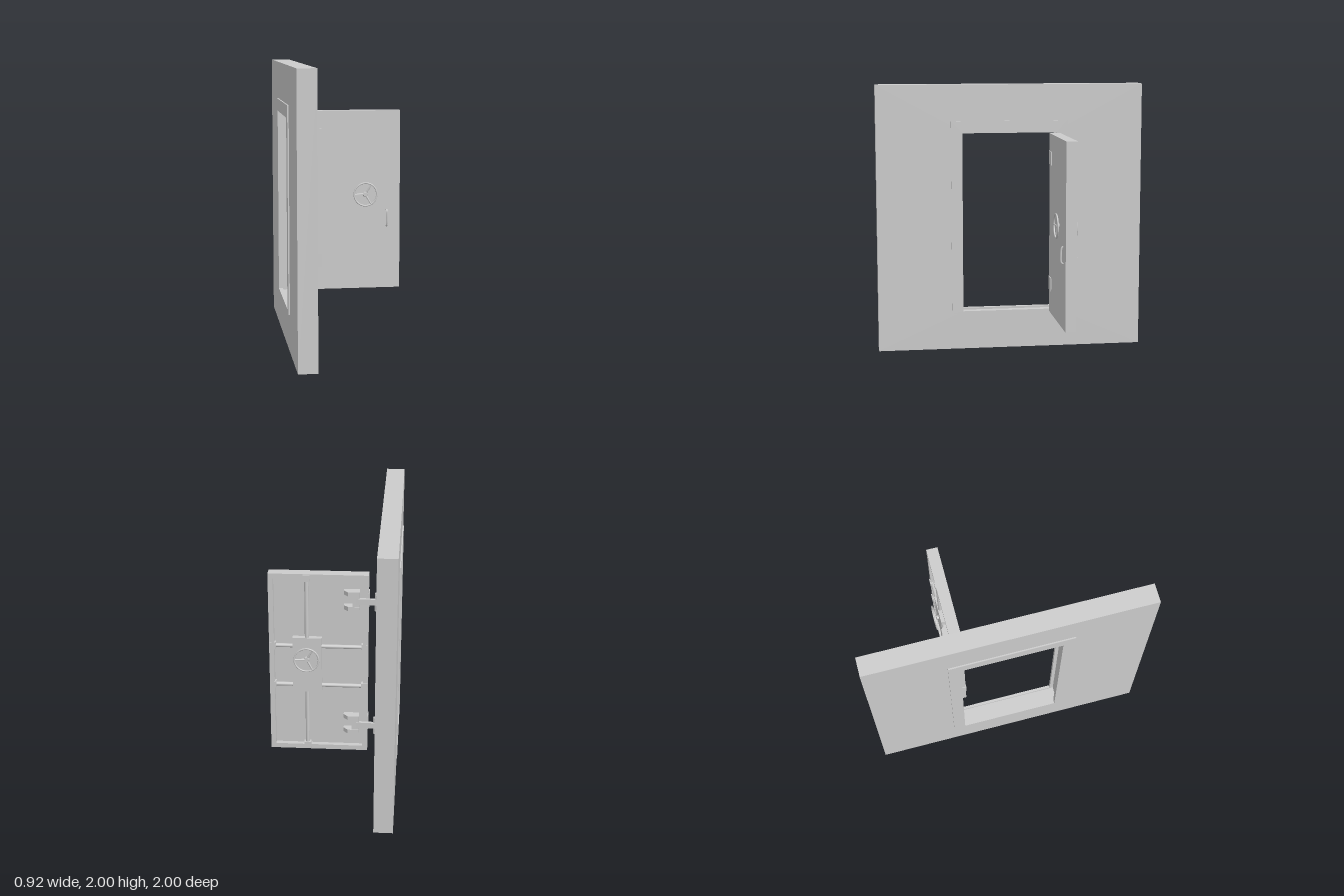
import * as THREE from 'three';

const mat = new THREE.MeshStandardMaterial({ color: 0xcccccc });

function add(parent, name, geo, x = 0, y = 0, z = 0) {
  const m = new THREE.Mesh(geo, mat);
  m.name = name;
  m.position.set(x, y, z);
  parent.add(m);
  return m;
}

// Box given by its min and max corners
function box(parent, name, x0, x1, y0, y1, z0, z1) {
  return add(parent, name, new THREE.BoxGeometry(x1 - x0, y1 - y0, z1 - z0),
    (x0 + x1) / 2, (y0 + y1) / 2, (z0 + z1) / 2);
}

function rect(Type, a0, a1, b0, b1) {
  return new Type([[a0, b0], [a1, b0], [a1, b1], [a0, b1]].map(p => new THREE.Vector2(...p)));
}

// Rectangle with a rectangular hole, extruded along z
function ring(outer, inner, depth) {
  const s = rect(THREE.Shape, ...outer);
  s.holes.push(rect(THREE.Path, ...inner));
  return new THREE.ExtrudeGeometry(s, { depth, bevelEnabled: false });
}

// Same, standing in the zy plane and spanning x0..x1
function wallRing(parent, name, x0, x1, outer, inner) {
  const flip = r => [-r[1], -r[0], r[2], r[3]];
  const g = ring(flip(outer), flip(inner), x1 - x0).rotateY(Math.PI / 2);
  return add(parent, name, g, x0);
}

// Cylinder between two points
function rod(parent, name, a, b, r0, r1 = r0, seg = 12) {
  const A = new THREE.Vector3(...a), B = new THREE.Vector3(...b);
  const d = B.clone().sub(A);
  const m = add(parent, name, new THREE.CylinderGeometry(r1, r0, d.length(), seg));
  m.position.copy(A).lerp(B, 0.5);
  m.quaternion.setFromUnitVectors(new THREE.Vector3(0, 1, 0), d.normalize());
  return m;
}

// Profile in the xz plane, extruded over a height and centred on y
function xzPrism(parent, name, pts, height, y) {
  const s = new THREE.Shape(pts.map(([x, z]) => new THREE.Vector2(x, -z)));
  const g = new THREE.ExtrudeGeometry(s, { depth: height, bevelEnabled: false }).rotateX(-Math.PI / 2);
  return add(parent, name, g, 0, y - height / 2, 0);
}

// Three-spoke handwheel whose rim lies ahead of the hub base along +z
function handwheel(name, rimZ) {
  const g = new THREE.Group();
  g.name = name;
  add(g, 'wheelRim', new THREE.TorusGeometry(0.086, 0.006, 10, 40), 0, 0, rimZ);
  rod(g, 'wheelShaft', [0, 0, 0], [0, 0, rimZ - 0.004], 0.016, 0.012, 20);
  rod(g, 'wheelHub', [0, 0, rimZ - 0.014], [0, 0, rimZ - 0.002], 0.02, 0.015, 20);
  for (let i = 0; i < 3; i++) {
    const a = -Math.PI / 3 + i * Math.PI * 2 / 3;
    rod(g, 'wheelSpoke', [Math.cos(a) * 0.01, Math.sin(a) * 0.01, rimZ - 0.011],
      [Math.cos(a) * 0.084, Math.sin(a) * 0.084, rimZ], 0.008, 0.005, 8);
  }
  return g;
}

function hinge(y) {
  const g = new THREE.Group();
  g.name = 'hinge';
  // wall bracket
  box(g, 'hingeWallPlate', -0.312, -0.304, y - 0.07, y + 0.07, -0.42, -0.36);
  for (const s of [-1, 1]) {
    xzPrism(g, 'hingeBracket', [[-0.306, -0.365], [-0.29, -0.378], [-0.29, -0.402], [-0.306, -0.412]],
      0.03, y + s * 0.04);
  }
  rod(g, 'hingePin', [-0.293, y - 0.066, -0.392], [-0.293, y + 0.066, -0.392], 0.01);
  // arm reaching to the door
  xzPrism(g, 'hingeArm', [[-0.3, -0.405], [-0.3, -0.382], [-0.2, -0.378], [-0.16, -0.365],
    [-0.16, -0.4], [-0.2, -0.402]], 0.042, y);
  box(g, 'hingeStrap', -0.18, -0.13, y - 0.045, y + 0.045, -0.395, -0.335);
  // forked leaf on the back of the door
  for (const s of [-1, 1]) {
    xzPrism(g, 'hingeProng', [[-0.18, -0.335], [-0.07, -0.335], [-0.07, -0.366], [-0.1, -0.4], [-0.18, -0.4]],
      0.03, y + s * 0.054);
  }
  // thin plate wrapped round the door edge
  box(g, 'hingeFrontPlate', -0.243, -0.14, y - 0.05, y + 0.05, -0.288, -0.28);
  box(g, 'hingeEdgePlate', -0.245, -0.238, y - 0.05, y + 0.05, -0.36, -0.28);
  return g;
}

export function createModel() {
  const model = new THREE.Group();
  model.name = 'vaultDoor';

  // wall with opening, trimmed on both faces
  const clear = [-0.35, 0.36, 0.29, 1.64];
  const trim = [-0.435, 0.445, 0.27, 1.73];
  wallRing(model, 'wall', -0.45, -0.315, [-1, 1, 0, 2], [-0.375, 0.385, 0.275, 1.665]);
  wallRing(model, 'frontTrim', -0.33, -0.31, trim, clear);
  wallRing(model, 'backTrim', -0.46, -0.43, trim, clear);

  // door leaf: front slab plus raised rim around the back
  const door = new THREE.Group();
  door.name = 'door';
  model.add(door);
  box(door, 'doorSlab', -0.24, 0.455, 0.29, 1.64, -0.33, -0.285);
  add(door, 'doorRim', ring([-0.24, 0.455, 0.29, 1.64], [-0.205, 0.42, 0.325, 1.605], 0.036), 0, 0, -0.365);

  // locking rods with guide blocks
  const wx = 0.19, wy = 1.01;
  rod(door, 'verticalRod', [wx, 0.295, -0.352], [wx, 1.635, -0.352], 0.014);
  for (const y of [0.32, 1.61]) {
    box(door, 'rodGuide', wx - 0.025, wx + 0.025, y - 0.025, y + 0.025, -0.371, -0.335);
  }
  for (const y of [0.8, 1.1]) {
    rod(door, 'horizontalRod', [-0.235, y, -0.352], [0.45, y, -0.352], 0.014);
    for (const x of [-0.215, 0.43]) {
      box(door, 'rodGuide', x - 0.022, x + 0.022, y - 0.025, y + 0.025, -0.371, -0.335);
    }
  }

  // lock plate and the two handwheels
  box(door, 'lockPlate', 0.085, 0.29, 0.75, 1.165, -0.369, -0.329);
  const front = handwheel('frontWheel', 0.024);
  front.position.set(wx, wy, -0.285);
  const back = handwheel('backWheel', 0.03);
  back.position.set(wx, wy, -0.369);
  back.rotation.y = Math.PI;
  door.add(front, back);

  // pull handle
  const path = new THREE.CatmullRomCurve3([[0.89, -0.285], [0.878, -0.274], [0.82, -0.268], [0.772, -0.272], [0.765, -0.285]]
    .map(([y, z]) => new THREE.Vector3(0.355, y, z)));
  add(door, 'pullHandle', new THREE.TubeGeometry(path, 24, 0.007, 8));

  for (const y of [0.51, 1.46]) model.add(hinge(y));
  return model;
}
